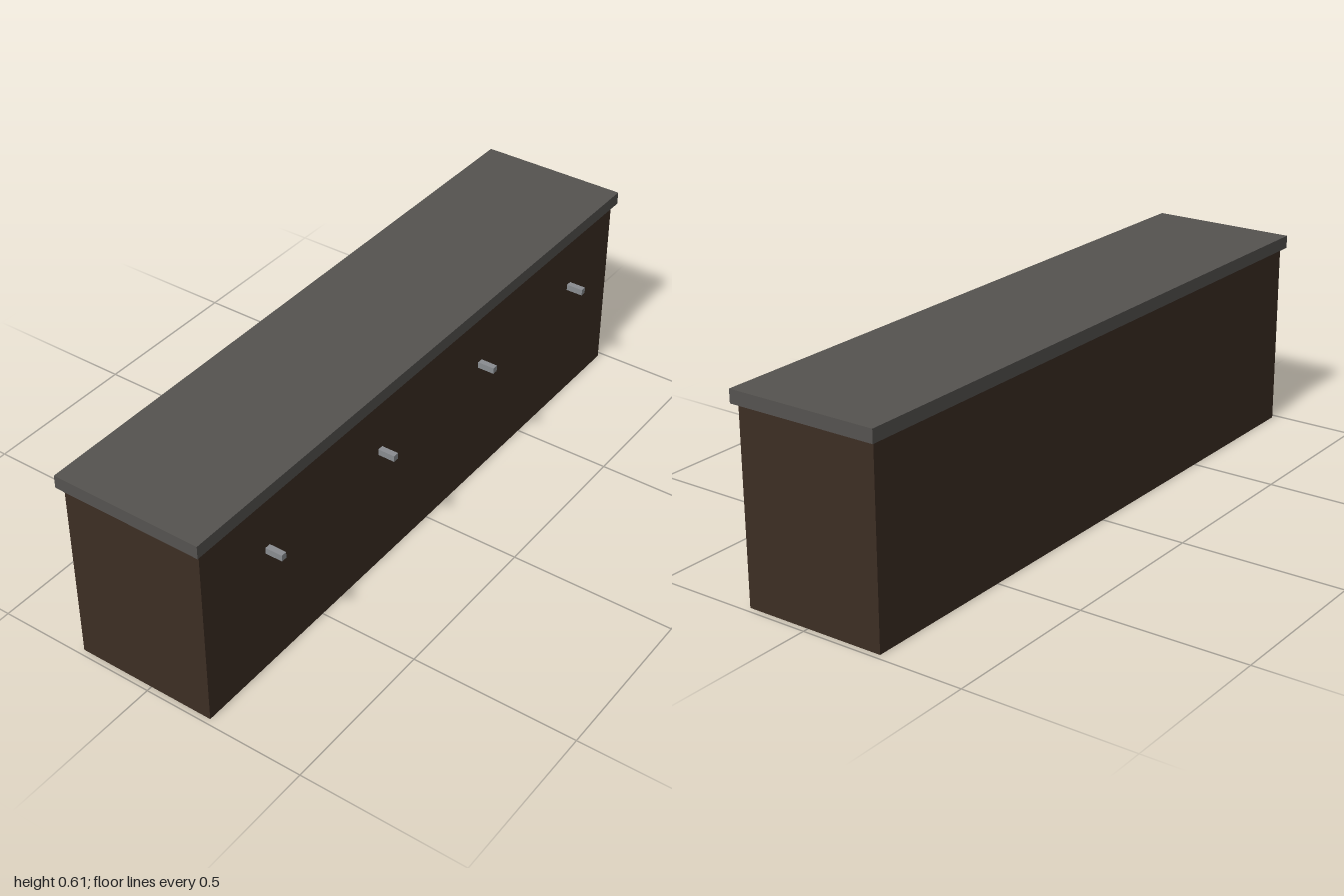
import * as THREE from 'three';

// Box given by its extents along each axis
function block(name, [x0, x1], [y0, y1], [z0, z1], material) {
  const mesh = new THREE.Mesh(new THREE.BoxGeometry(x1 - x0, y1 - y0, z1 - z0), material);
  mesh.position.set((x0 + x1) / 2, (y0 + y1) / 2, (z0 + z1) / 2);
  mesh.name = name;
  return mesh;
}

export function createModel() {
  const group = new THREE.Group();
  group.name = 'sideboard';
  const wood = new THREE.MeshStandardMaterial({ color: 0x3d2e24 });
  const stone = new THREE.MeshStandardMaterial({ color: 0x555350 });
  const metal = new THREE.MeshStandardMaterial({ color: 0x8a8d91 });

  // Cabinet body and overhanging worktop
  group.add(block('cabinetBody', [-0.983, 0.983], [0, 0.566], [-0.236, 0.198], wood));
  group.add(block('worktop', [-1, 1], [0.566, 0.605], [-0.249, 0.21], stone));

  // One handle per door, set slightly off the door centre
  const doorWidth = 1.966 / 4;
  for (let i = 0; i < 4; i++) {
    const x = -0.983 + doorWidth * (i + 0.5) + 0.0145;
    group.add(block(`handle${i + 1}`, [x - 0.009, x + 0.009], [0.385, 0.404], [0.198, 0.25], metal));
  }
  return group;
}
